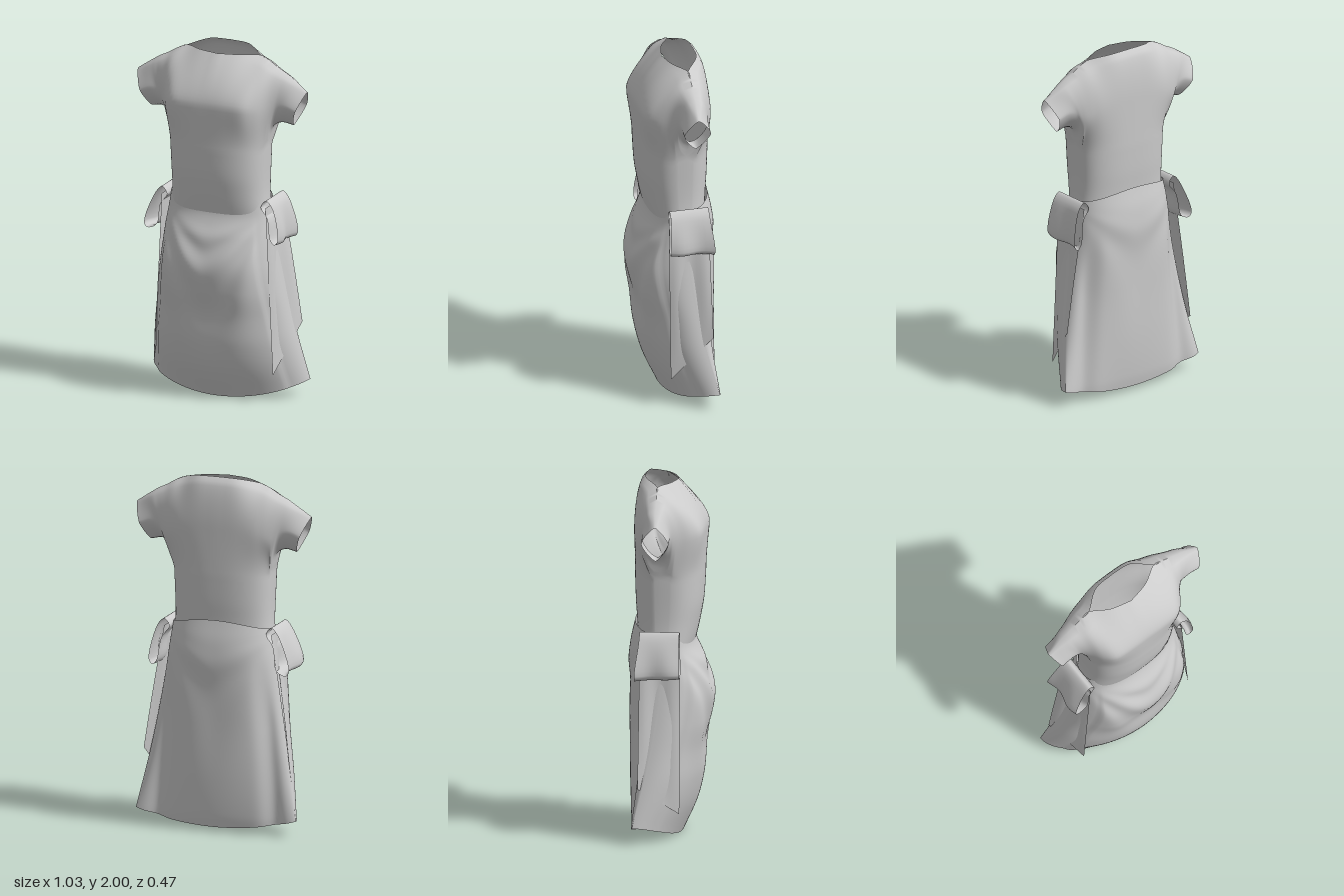
import * as THREE from 'three';
import { mergeGeometries, mergeVertices } from 'three/addons/utils/BufferGeometryUtils.js';

const mat = new THREE.MeshStandardMaterial({ color: 0xcccccc, side: THREE.DoubleSide });
const { lerp, clamp, smoothstep } = THREE.MathUtils;

// Smooth interpolation through [key, value] pairs with ascending keys
function lut(...pts) {
  const n = pts.length;
  const slope = i => {
    const a = pts[Math.max(i - 1, 0)], b = pts[Math.min(i + 1, n - 1)];
    return (b[1] - a[1]) / (b[0] - a[0]);
  };
  return k => {
    k = clamp(k, pts[0][0], pts[n - 1][0]);
    let i = 0;
    while (i < n - 2 && k > pts[i + 1][0]) i++;
    const h = pts[i + 1][0] - pts[i][0], t = (k - pts[i][0]) / h, t2 = t * t, t3 = t2 * t;
    return (2 * t3 - 3 * t2 + 1) * pts[i][1] + (t3 - 2 * t2 + t) * h * slope(i)
      + (3 * t2 - 2 * t3) * pts[i + 1][1] + (t3 - t2) * h * slope(i + 1);
  };
}
const list = (...v) => lut(...v.map((y, i) => [i, y]));

// Sheet of nu x nv cells, fn(u, v) -> [x, y, z] with u, v in 0..1
function sheet(nu, nv, fn, flip = false) {
  const pos = [], idx = [];
  for (let j = 0; j <= nv; j++) for (let i = 0; i <= nu; i++) pos.push(...fn(i / nu, j / nv));
  for (let j = 0; j < nv; j++) for (let i = 0; i < nu; i++) {
    const a = j * (nu + 1) + i, b = a + nu + 1;
    if (flip) idx.push(a, a + 1, b, a + 1, b + 1, b);
    else idx.push(a, b, a + 1, a + 1, b, b + 1);
  }
  const g = new THREE.BufferGeometry();
  g.setAttribute('position', new THREE.Float32BufferAttribute(pos, 3));
  g.setIndex(idx);
  return g;
}
function cloth(name, ...geos) {
  const g = mergeVertices(mergeGeometries(geos), 1e-4);
  g.computeVertexNormals();
  const m = new THREE.Mesh(g, mat);
  m.name = name;
  return m;
}
const oval = (u, n) => Math.pow(Math.max(0, 1 - Math.pow(Math.min(1, Math.abs(u)), n)), 1 / n);

// Bodice: columns s = 0..8 run from the centre out to the sleeve hem; 5 is the armpit
const topX = list(0, .12, .22, .28, .33, .38, .42, .465, .515);
const topYFront = list(1.97, 1.97, 1.965, 1.94, 1.91, 1.885, 1.86, 1.83, 1.795);
const topYBack = list(2, 1.995, 1.965, 1.94, 1.91, 1.885, 1.86, 1.83, 1.795);
const botX = list(0, .11, .2, .25, .277, .285, .305, .36, .43);
const botY = list(1.45, 1.45, 1.45, 1.45, 1.45, 1.48, 1.565, 1.6, 1.59);
const neckFront = list(.045, .015, -.045, -.045, -.043, -.04, -.04, -.035, -.03);
const neckBack = list(-.13, -.12, -.048, -.045, -.043, -.04, -.04, -.035, -.03);
const chest = list(.2, .2, .19, .145, .085, .052, .04, .04, .04);
const upperBack = list(-.19, -.187, -.177, -.162, -.147, -.132, -.12, -.113, -.11);
const waistW = lut([1.05, .288], [1.2, .278], [1.45, .285]);
const waistF = lut([1.05, .13], [1.12, .148], [1.2, .165], [1.3, .182], [1.45, .192]);
const waistB = lut([1.05, -.17], [1.2, -.178], [1.3, -.185], [1.45, -.19]);

function bodice() {
  const parts = [];
  for (const back of [false, true]) {
    const neck = back ? neckBack : neckFront, mid = back ? upperBack : chest;
    const topY = back ? topYBack : topYFront, depth = back ? waistB : waistF;
    const side = -.02;
    const edgeZ = (a, y) => a >= 5 ? lerp(side, -.035, (a - 5) / 3)
      : side + (depth(y) - side) * oval(botX(a) / .285, 2.5);
    // shoulders and sleeves, pinched to a lens at the sleeve hem
    parts.push(sheet(64, 24, (u, t) => {
      const s = u * 16 - 8, a = Math.abs(s), k = clamp(t * 2, 0, 1), d = clamp(t * 2 - 1, 0, 1);
      const pinch = smoothstep(a, 5.5, 8) * .8;
      const round = back ? 1 : smoothstep(a, 1, 5);
      const arc = lerp(Math.sqrt(1 - (1 - k) ** 2), 1 - (1 - k) ** 1.4, pinch);
      const rise = lerp(1 - (1 - k) ** 1.5, arc, round);
      const fall = lerp(smoothstep(d, 0, 1),
        lerp(1 - Math.sqrt(1 - d ** 2), d ** 1.4, pinch), smoothstep(a, 3.5, 5.5));
      const z = neck(a) + (mid(a) - neck(a)) * rise + (edgeZ(a, 1.45) - mid(a)) * fall;
      return [Math.sign(s) * lerp(topX(a), botX(a), t), lerp(topY(a), botY(a), t), z];
    }, back));
    // torso down to the waist
    parts.push(sheet(40, 16, (u, r) => {
      const s = u * 10 - 5, a = Math.abs(s), y = lerp(1.45, 1.05, r);
      return [Math.sign(s) * botX(a) * waistW(y) / .285, lerp(botY(a), 1.05, r), edgeZ(a, y)];
    }, back));
  }
  return cloth('bodice', ...parts);
}

// Skirt: draped front and plainer back meeting at the flared sides
const skirtW = lut([0, .485], [.1, .47], [.5, .395], [.8, .345], [1.1, .298], [1.2, .28]);
const skirtF = lut([0, .07], [.18, .15], [.33, .185], [.5, .198], [.65, .225], [.8, .232], [.95, .192], [1.06, .142], [1.13, .13]);
const skirtB = lut([0, -.185], [.1, -.2], [.3, -.21], [.6, -.212], [.9, -.222], [1.05, -.22], [1.2, -.188]);
const skirtS = lut([0, -.17], [.1, -.16], [.4, -.09], [.8, -.03], [1.2, -.015]);

function skirt() {
  const parts = [false, true].map(back => sheet(80, 70, (p, r) => {
    const u = Math.sin((p - .5) * Math.PI), edge = u * u;
    const y = lerp(back ? lerp(1.2, 1.15, edge) : lerp(1.12, 1.15, edge),
      lerp(back ? .03 : .004, .095, edge), r);
    const x = u * skirtW(y), f = oval(u, lerp(1.8, 2.4, smoothstep(y, 0, .7)));
    let z = lerp(skirtS(y), (back ? skirtB : skirtF)(y), f);
    // folds fan out from the two hips
    const ang = Math.atan2(1.12 - y, .34 - Math.sqrt(x * x + .004));
    if (back) {
      z += .005 * f * Math.sin(ang * 9) * smoothstep(1.15 - y, 0, .3);
      // valleys beside the centre panel
      const valley = (Math.abs(u) - lerp(.72, .85, clamp(y, 0, 1))) / .12;
      z += .028 * Math.exp(-valley * valley) * smoothstep(1.1 - y, 0, .5);
    } else {
      z += .009 * f * Math.sin(ang * 15) * smoothstep(1.08 - y, .02, .25) * smoothstep(y, .2, .6);
      // drop at the border of the draped panel
      z -= .022 * smoothstep(Math.abs(u), .8, .86) * f * smoothstep(1.1 - y, 0, .3);
    }
    return [x, y, z];
  }, back));
  return cloth('skirt', ...parts);
}

// Side bow: folded loop and slanted hanging tail
function sideBow(side, spread, tip, slant) {
  const g = new THREE.Group();
  g.name = side > 0 ? 'leftBow' : 'rightBow';
  const loop = new THREE.CatmullRomCurve3([[.285, 1.13], [.315, 1.17], [.355, 1.13], [.39 + spread, .95],
    [.37 + spread, .925], [.345, .95], [.325, 1.07]].map(([x, y]) => new THREE.Vector3(x, y, 0)), true);
  g.add(cloth('bowLoop', sheet(40, 10, (u, v) => {
    const p = loop.getPoint(u), drop = smoothstep(1.15 - p.y, 0, .2);
    return [side * (p.x + .012 * drop * Math.sin(v * 7)), p.y - .015 * v * drop,
      lerp(.085 + .008 * drop, -.135 - .02 * drop, v)];
  }, side < 0)));
  g.add(cloth('bowTail', sheet(12, 30, (q, r) => {
    const y = lerp(1.13, tip + slant * q, r);
    return [side * (.315 + .045 * r + .075 * q * r + .008 * Math.sin(q * 9) * Math.sin(r * Math.PI)),
      y, lerp(.088, -.135, q)];
  }, side > 0)));
  return g;
}

export function createModel() {
  const model = new THREE.Group();
  model.name = 'dress';
  model.add(bodice(), skirt(), sideBow(1, 0, .17, .26), sideBow(-1, .03, .16, .15));
  return model;
}
